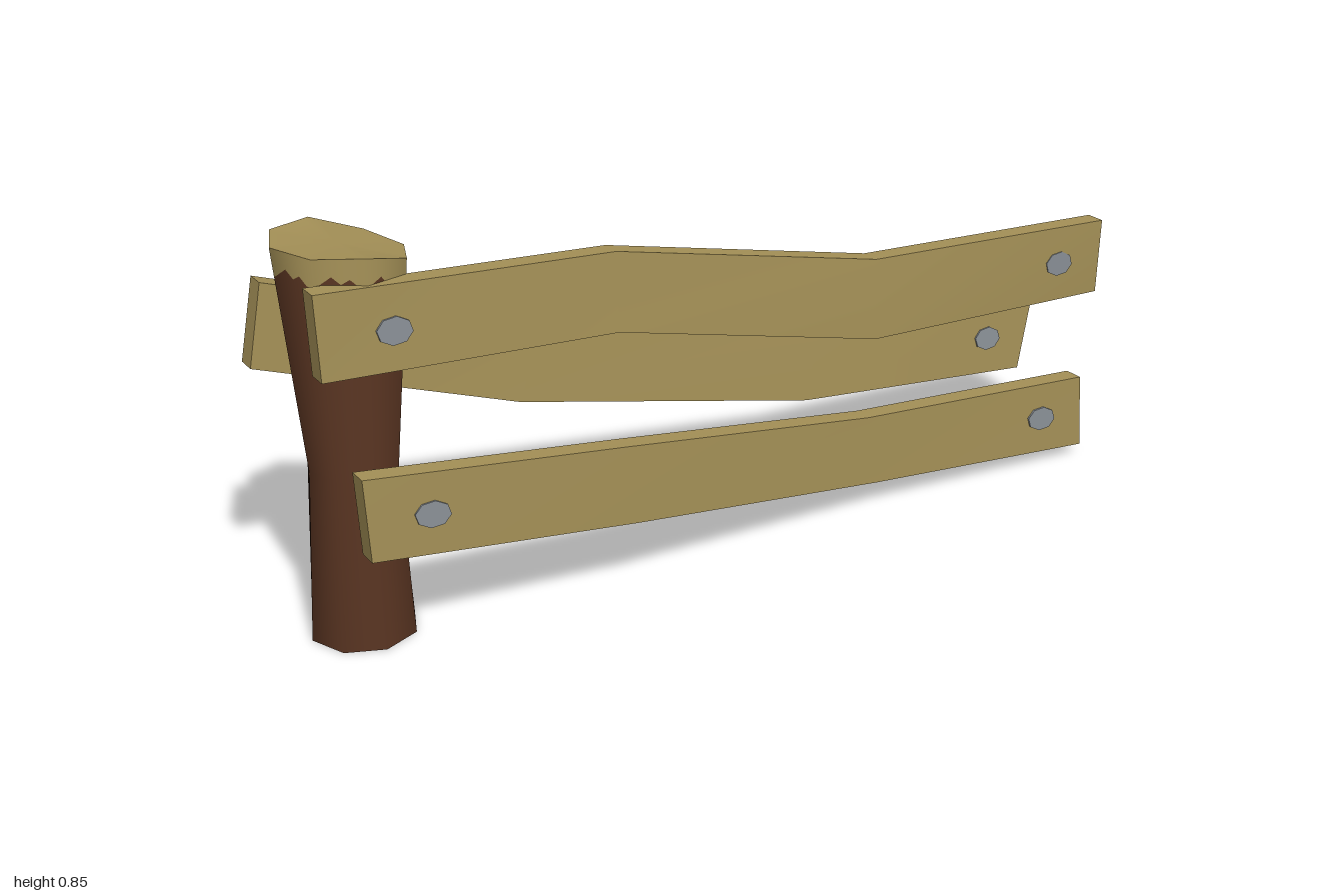
import * as THREE from 'three';

const wood = new THREE.MeshStandardMaterial({ color: 0xa69258 });
wood.name = 'cut wood';
const bark = new THREE.MeshStandardMaterial({ color: 0x5a3522 });
bark.name = 'brown bark';
const steel = new THREE.MeshStandardMaterial({ color: 0x8c9299 });
steel.name = 'nail grey';

const POST_X = -0.842, SIDES = 8, SUB = 6, N = SIDES * SUB;
const HALF = 0.0225; // half the plank thickness
const mix = THREE.MathUtils.lerp;

function named(name, geometry, material) {
  const mesh = new THREE.Mesh(geometry, material);
  mesh.name = name;
  return mesh;
}

function makeGeometry(points, index, normals) {
  const g = new THREE.BufferGeometry();
  g.setAttribute('position', new THREE.Float32BufferAttribute(points, 3));
  if (normals) g.setAttribute('normal', new THREE.Float32BufferAttribute(normals, 3));
  g.setIndex(index);
  if (!normals) g.computeVertexNormals();
  return g;
}

// Point i of N around an eight-sided outline with corners on the axes
function outline(i, rx, rz) {
  const k = Math.floor(i / SUB), f = (i % SUB) / SUB;
  const a = (k * Math.PI * 2) / SIDES, b = ((k + 1) * Math.PI * 2) / SIDES;
  return [mix(Math.cos(a), Math.cos(b), f) * rx, mix(Math.sin(a), Math.sin(b), f) * rz];
}

// Slanted rim: high on the -x side, low on the +x side
const rimHeights = [0.8, 0.81, 0.84, 0.844, 0.845, 0.844, 0.84, 0.81];
function rimY(i) {
  const k = Math.floor(i / SUB) % SIDES;
  return mix(rimHeights[k], rimHeights[(k + 1) % SIDES], (i % SUB) / SUB);
}

// Skin between rings, each ring a function i -> [x, y, z], with round-looking normals
function skin(rings) {
  const points = [], normals = [], index = [];
  rings.forEach((ring, r) => {
    for (let i = 0; i <= N; i++) {
      const [x, y, z] = ring(i % N);
      const n = new THREE.Vector3(x, 0, z).normalize();
      points.push(x, y, z);
      normals.push(n.x, n.y, n.z);
      if (r > 0 && i < N) {
        const a = (r - 1) * (N + 1) + i, b = a + N + 1;
        index.push(a, b, a + 1, a + 1, b, b + 1);
      }
    }
  });
  return makeGeometry(points, index, normals);
}

// Flat fan closing a ring
function cap(ring, centerY, up) {
  const points = [0, centerY, 0], index = [];
  for (let i = 0; i < N; i++) {
    points.push(...ring(i));
    const a = i + 1, b = ((i + 1) % N) + 1;
    index.push(...(up ? [0, b, a] : [0, a, b]));
  }
  return makeGeometry(points, index);
}

function makePost() {
  const at = (i, y, rx, rz) => {
    const [x, z] = outline(i, rx, rz);
    return [x, y, z];
  };
  const base = (i) => at(i, 0, 0.113, 0.113);
  const waist = (i) => at(i, 0.37, 0.092, 0.105);
  const rim = (i) => at(i, rimY(i), 0.136, 0.142);
  // Ragged line where the bark stops
  const ragged = (i) => {
    const y = rimY(i) - 0.048 - [0.012, 0, -0.012, 0.004, -0.006, 0.01][(i * 5) % 6];
    const t = (y - 0.37) / (rimY(i) - 0.37);
    return at(i, y, mix(0.092, 0.136, t), mix(0.105, 0.142, t));
  };
  const post = new THREE.Group();
  post.name = 'post';
  post.position.x = POST_X;
  post.add(
    named('postBark', skin([base, waist, ragged]), bark),
    named('postBareRim', skin([ragged, rim]), wood),
    named('postTop', cap(rim, 0.83, true), wood),
    named('postBottom', cap(base, 0, false), wood)
  );
  return post;
}

// Sections along x: [top x, top y, bottom x, bottom y, top z, bottom z]
function makePlank(name, sections, nails) {
  const group = new THREE.Group();
  group.name = name;
  const g = new THREE.BoxGeometry(1, 1, 1, 3, 1, 1);
  const p = g.attributes.position;
  for (let i = 0; i < p.count; i++) {
    const [tx, ty, bx, by, tz, bz] = sections[Math.round((p.getX(i) + 0.5) * 3)];
    const top = p.getY(i) > 0;
    p.setXYZ(i, top ? tx : bx, top ? ty : by, (top ? tz : bz) + Math.sign(p.getZ(i)) * HALF);
  }
  g.computeVertexNormals();
  group.add(named(name + 'Board', g, wood));

  // Nail heads lie on both broad faces
  for (const [x, y] of nails) {
    const s = x < 0 ? 0 : 2, a = sections[s], b = sections[s + 1];
    const f = (x - (a[0] + a[2]) / 2) / ((b[0] + b[2] - a[0] - a[2]) / 2);
    const top = mix(a[1], b[1], f), bottom = mix(a[3], b[3], f);
    const z = mix(mix(a[5], b[5], f), mix(a[4], b[4], f), (y - bottom) / (top - bottom));
    const yaw = -Math.atan2(b[4] + b[5] - a[4] - a[5], b[0] + b[2] - a[0] - a[2]);
    const pitch = Math.atan2(mix(a[4] - a[5], b[4] - b[5], f), top - bottom);
    for (const side of [1, -1]) {
      const head = named('nailHead', new THREE.CylinderGeometry(1, 1, 0.008, 8), steel);
      head.geometry.rotateX(Math.PI / 2).scale(0.039, 0.029, 1).rotateZ(-0.2);
      head.position.set(x, y, z + side * HALF);
      head.rotation.set(pitch, yaw, 0);
      group.add(head);
    }
  }
  return group;
}

export function createModel() {
  const model = new THREE.Group();
  model.name = 'brokenFence';
  model.add(
    makePost(),
    makePlank('upperFrontPlank', [
      [-0.96, 0.795, -0.955, 0.62, 0.13, 0.134],
      [-0.3, 0.742, -0.3, 0.57, 0.093, 0.1],
      [0.31, 0.622, 0.31, 0.44, 0.145, 0.151],
      [0.953, 0.592, 0.955, 0.415, 0.145, 0.136]
    ], [[-0.8, 0.69], [0.83, 0.51]]),
    makePlank('lowerFrontPlank', [
      [-0.89, 0.405, -0.88, 0.225, 0.135, 0.135],
      [-0.32, 0.345, -0.3, 0.165, 0.163, 0.161],
      [0.33, 0.232, 0.36, 0.063, 0.108, 0.105],
      [0.93, 0.202, 0.945, 0.025, 0.133, 0.133]
    ], [[-0.75, 0.3], [0.82, 0.12]]),
    makePlank('backPlank', [
      [-0.965, 0.74, -1, 0.57, -0.127, -0.12],
      [-0.335, 0.515, -0.4, 0.345, -0.163, -0.155],
      [0.35, 0.375, 0.31, 0.2, -0.113, -0.105],
      [0.997, 0.303, 0.957, 0.13, -0.13, -0.122]
    ], [[-0.86, 0.615], [0.855, 0.23]])
  );
  return model;
}
